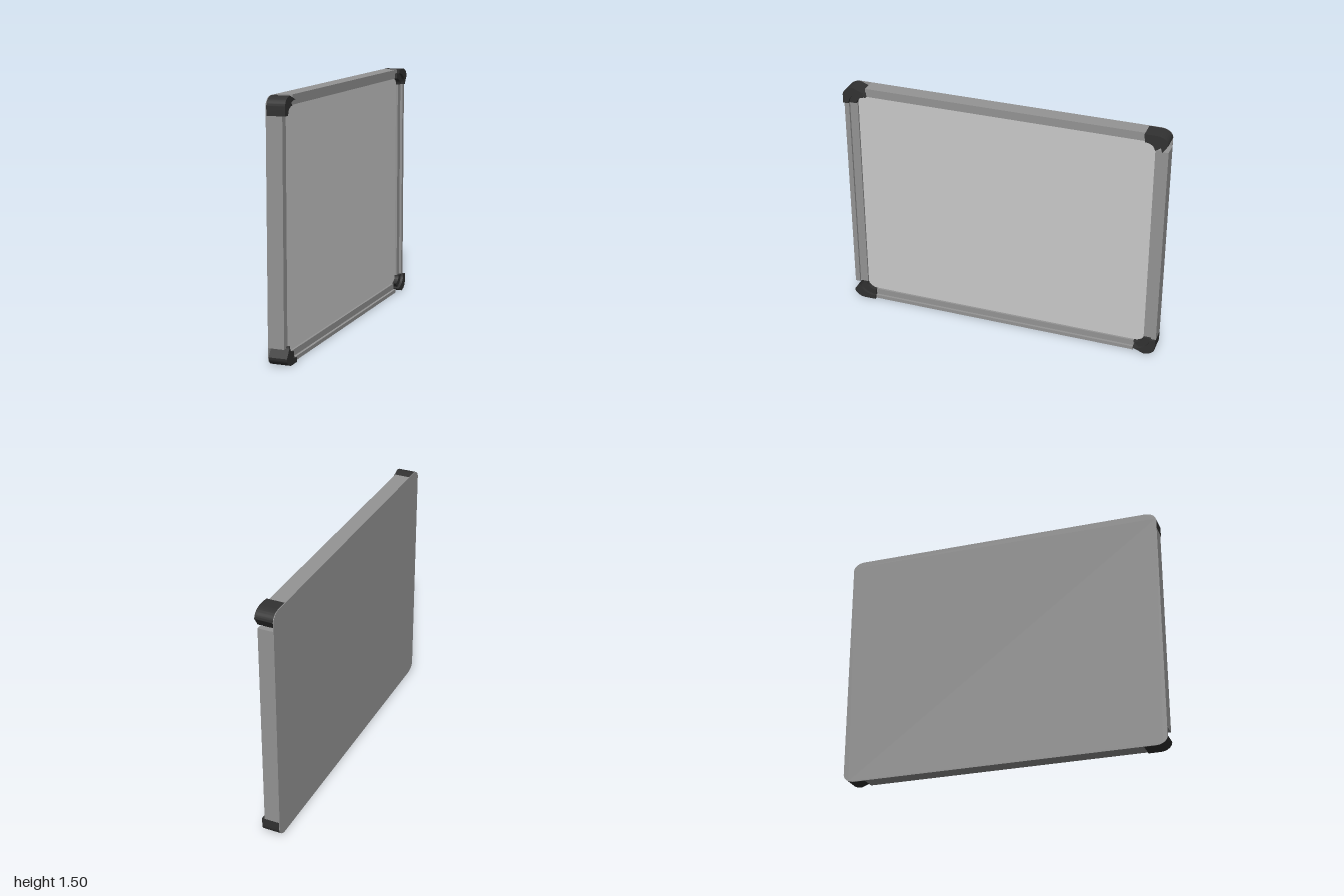
import * as THREE from 'three';
import { toCreasedNormals } from 'three/addons/utils/BufferGeometryUtils.js';

const BACK = -0.057, SHEET = 0.004, ARM = 0.14, OUTER_R = 0.07;
const PANEL_X = 0.012;
const frameMat = new THREE.MeshStandardMaterial({ color: 0x959595 });
const panelMat = new THREE.MeshStandardMaterial({ color: 0xcccccc });
const cornerMat = new THREE.MeshStandardMaterial({ color: 0x323232 });

// Drawn on a square board of half-size 1, turned by quarter turns, then
// squashed to the 4:3 format and stood up facing +x.
function slab(shape, x0, x1, turn = 0) {
  const g = new THREE.ExtrudeGeometry(shape, { depth: x1 - x0, bevelEnabled: false, curveSegments: 10 });
  g.translate(0, 0, x0);
  g.rotateZ(turn * Math.PI / 2);
  g.rotateY(Math.PI / 2);
  g.scale(1, 0.75, 1);
  g.translate(0, 0.75, 0);
  return toCreasedNormals(g, 0.6);
}

function rect(x0, y0, x1, y1) {
  return new THREE.Shape([[x0, y0], [x1, y0], [x1, y1], [x0, y1]].map(p => new THREE.Vector2(...p)));
}

function roundedSquare(h, r) {
  const s = new THREE.Shape();
  const c = h - r;
  s.absarc(c, c, r, 0, Math.PI / 2);
  s.absarc(-c, c, r, Math.PI / 2, Math.PI);
  s.absarc(-c, -c, r, Math.PI, Math.PI * 1.5);
  s.absarc(c, -c, r, Math.PI * 1.5, Math.PI * 2);
  return s;
}

// Elbow with a rounded outside and a curved inner edge
function elbow(width) {
  const e = 1 - ARM, c = 1 - OUTER_R;
  const s = new THREE.Shape();
  s.moveTo(1, e);
  s.absarc(c, c, OUTER_R, 0, Math.PI / 2);
  s.lineTo(e, 1);
  s.absarc(e, e, ARM - width, Math.PI / 2, 0, true);
  return s;
}

export function createModel() {
  const model = new THREE.Group();
  model.name = 'framedBoard';
  const add = (name, geometry, material, parent = model) => {
    const m = new THREE.Mesh(geometry, material);
    m.name = name;
    parent.add(m);
  };

  // Backing sheet and recessed writing surface
  add('backSheet', slab(roundedSquare(1, OUTER_R), BACK, BACK + SHEET), frameMat);
  add('writingPanel', slab(rect(-0.93, -0.93, 0.93, 0.93), BACK + SHEET, PANEL_X), panelMat);

  const L = 1 - ARM, base = BACK + SHEET;
  for (let k = 0; k < 4; k++) {
    // Rail with a tall outer lip and a lower inner step
    const rail = new THREE.Group();
    rail.name = 'rail' + (k + 1);
    add('outerLip', slab(rect(-L, 0.97, L, 1), base, 0.04, k), frameMat, rail);
    add('innerStep', slab(rect(-L, 0.92, L, 0.97), base, 0.025, k), frameMat, rail);
    model.add(rail);

    // Corner cap, stepped like the rails
    const cap = new THREE.Group();
    cap.name = 'cornerCap' + (k + 1);
    add('capLip', slab(elbow(0.035), base, 0.057, k), cornerMat, cap);
    add('capStep', slab(elbow(0.08), base + 0.001, 0.04, k), cornerMat, cap);
    model.add(cap);
  }
  return model;
}
